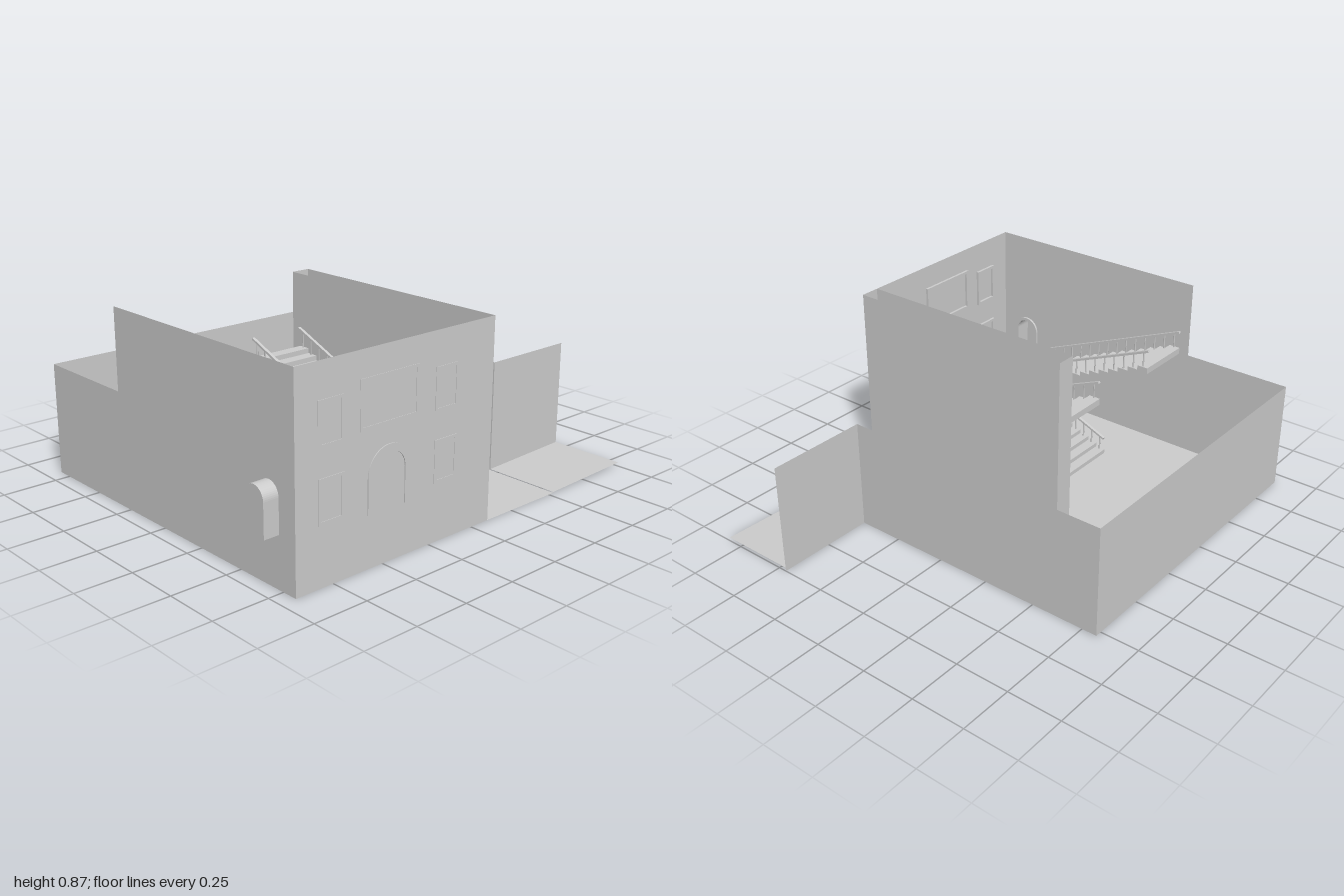
import * as THREE from 'three';

const mat = new THREE.MeshStandardMaterial({ color: 0xcccccc, side: THREE.DoubleSide });
const HALL = { x0: -0.93, x1: 0.01, z0: -0.3, z1: 0.82, h: 0.87 };
const LOW = 0.51, LANDING = 0.22, LANDING_Z = 0.51;

function add(parent, name, geo) {
  const m = new THREE.Mesh(geo, mat);
  m.name = name;
  parent.add(m);
  return m;
}
const box = (x0, x1, y0, y1, z0, z1) =>
  new THREE.BoxGeometry(x1 - x0, y1 - y0, z1 - z0)
    .translate((x0 + x1) / 2, (y0 + y1) / 2, (z0 + z1) / 2);
const poly = (pts) => new THREE.Shape(pts.map((p) => new THREE.Vector2(...p)));
const rect = (a0, a1, b0, b1) => poly([[a0, b0], [a1, b0], [a1, b1], [a0, b1]]);
const extrude = (shape, depth) =>
  new THREE.ExtrudeGeometry(shape, { depth, bevelEnabled: false, curveSegments: 12 });
// turn a (z, y) drawing so that it stands across x; depth runs towards -x
const acrossX = (geo, x) => geo.rotateY(-Math.PI / 2).translate(x, 0, 0);

// round-headed opening
function arch(c, w, y0, y1, Type = THREE.Shape) {
  const s = new Type(), r = w / 2, spring = y1 - r;
  s.moveTo(c - r, y0);
  s.lineTo(c - r, spring);
  s.absarc(c, spring, r, Math.PI, 0, true);
  s.lineTo(c + r, y0);
  s.closePath();
  return s;
}
// round-headed band of thickness t, open at the bottom
function archBand(c, w, y0, y1, t) {
  const s = new THREE.Shape(), r = w / 2, spring = y1 - r;
  s.moveTo(c - r, y0);
  s.lineTo(c - r, spring);
  s.absarc(c, spring, r, Math.PI, 0, true);
  s.lineTo(c + r, y0);
  s.lineTo(c + r - t, y0);
  s.lineTo(c + r - t, spring);
  s.absarc(c, spring, r - t, 0, Math.PI, false);
  s.lineTo(c - r + t, y0);
  s.closePath();
  return s;
}

// flight rising from (zA, yA) to (zB, yB), with two railings
function flight(name, x0, x1, zA, yA, zB, yB, steps) {
  const g = new THREE.Group();
  g.name = name;
  const dz = (zB - zA) / steps, dy = (yB - yA) / steps;
  const pts = [[zA, yA]];
  for (let i = 0; i < steps; i++) {
    pts.push([zA + i * dz, yA + (i + 1) * dy], [zA + (i + 1) * dz, yA + (i + 1) * dy]);
  }
  pts.push([zB, yB - 0.03], [zA + dz, yA]);
  add(g, 'steps', acrossX(extrude(poly(pts), x1 - x0), x1));

  const railH = 0.085;
  for (const x of [x0 + 0.008, x1 - 0.008]) {
    const len = Math.hypot(zB - zA, yB - yA);
    const rail = add(g, 'handrail', new THREE.BoxGeometry(0.014, 0.01, len));
    rail.position.set(x, (yA + yB) / 2 + railH, (zA + zB) / 2);
    rail.rotation.x = -Math.atan2(yB - yA, zB - zA);
    if (zB < zA) rail.rotation.x = Math.atan2(yB - yA, zA - zB);
    for (let i = 0; i < steps; i++) {
      const z = zA + (i + 0.5) * dz, y = yA + (i + 0.5) * dy;
      add(g, 'baluster', new THREE.CylinderGeometry(0.004, 0.004, railH, 6))
        .position.set(x, y + railH / 2, z);
    }
  }
  return g;
}

// shallow arched recess behind an opening, running from x to x + depth
function alcove(name, x, depth, z) {
  const g = new THREE.Group();
  g.name = name;
  const right = Math.max(x, x + depth);
  add(g, 'recess', acrossX(extrude(archBand(z, 0.11, 0.22, 0.42, 0.003), Math.abs(depth)), right));
  add(g, 'door', acrossX(new THREE.ShapeGeometry(arch(z, 0.11, 0.22, 0.42)), x + depth));
  const inner = x - Math.sign(depth) * 0.01;
  add(g, 'surround', acrossX(extrude(archBand(z, 0.134, 0.22, 0.432, 0.014), 0.01), Math.max(x, inner)));
  return g;
}

export function createModel() {
  const model = new THREE.Group();
  const { x0, x1, z0, z1, h } = HALL;
  const doorZ = 0.675;

  // floors
  add(model, 'floor', new THREE.PlaneGeometry(1.46, 1.64).rotateX(-Math.PI / 2).translate(-0.2, 0, 0));
  const porch = new THREE.PlaneGeometry(0.47, 0.36).rotateX(-Math.PI / 2).translate(0.765, 0, 0.64);
  const p = porch.attributes.position;
  for (let i = 0; i < p.count; i++) p.setY(i, p.getX(i) > 0.7 ? 0.018 : 0.004);
  porch.computeVertexNormals();
  add(model, 'porchFloor', porch);

  // outer walls
  const left = poly([[-0.82, 0], [z1, 0], [z1, h], [z0, h], [z0, LOW], [-0.82, LOW]]);
  left.holes.push(arch(doorZ, 0.11, 0.22, 0.42, THREE.Path));
  add(model, 'sideWall', acrossX(new THREE.ShapeGeometry(left), x0));
  add(model, 'frontWall', new THREE.ShapeGeometry(rect(x0, x1, 0, h)).translate(0, 0, z1));
  add(model, 'backWall', new THREE.ShapeGeometry(rect(x0, 0.53, 0, LOW)).translate(0, 0, -0.82));
  add(model, 'lowSideWall', acrossX(new THREE.ShapeGeometry(rect(-0.82, 0.46, 0, LOW)), 0.53));
  add(model, 'porchWall', new THREE.ShapeGeometry(rect(0.53, 1, 0, LOW)).translate(0, 0, 0.46));

  // hollow partition between hall and low room
  const partition = rect(z0, z1, 0, h);
  partition.holes.push(arch(doorZ, 0.11, 0.22, 0.42, THREE.Path));
  add(model, 'partitionInner', acrossX(new THREE.ShapeGeometry(partition), x1));
  add(model, 'partitionOuter', acrossX(new THREE.ShapeGeometry(rect(z0, z1, 0, h)), 0.1));
  for (const z of [z0, z1]) {
    add(model, 'partitionEnd', new THREE.ShapeGeometry(rect(x1, 0.1, 0, h)).translate(0, 0, z));
  }

  // side doors
  model.add(alcove('leftAlcove', x0, -0.07, doorZ), alcove('rightAlcove', x1, 0.07, doorZ));

  // raised landing
  add(model, 'landing', new THREE.PlaneGeometry(x1 - x0, z1 - LANDING_Z).rotateX(-Math.PI / 2)
    .translate((x0 + x1) / 2, LANDING, (z1 + LANDING_Z) / 2));
  add(model, 'landingFace', new THREE.ShapeGeometry(rect(x0, x1, 0, LANDING)).translate(0, 0, LANDING_Z));

  // stairs: one central flight up to the landing, two side flights onwards
  model.add(
    flight('centreStair', -0.65, -0.27, -0.03, 0, LANDING_Z, LANDING, 11),
    flight('leftStair', x0, -0.65, LANDING_Z, LANDING, -0.25, 0.535, 14),
    flight('rightStair', -0.27, x1, LANDING_Z, LANDING, -0.25, 0.535, 14),
  );

  // front door with steps
  add(model, 'frontDoorFrame', extrude(archBand(-0.47, 0.22, 0.22, 0.48, 0.028), 0.022).translate(0, 0, 0.802));
  add(model, 'doorStep', box(-0.58, -0.36, LANDING, 0.235, 0.79, z1));
  add(model, 'doorStep', box(-0.53, -0.41, LANDING, 0.25, 0.77, 0.79));

  // window and picture frames: x centre, y centre, width, height
  const frames = [
    [-0.76, 0.34, 0.125, 0.18], [-0.165, 0.34, 0.125, 0.18],
    [-0.76, 0.635, 0.125, 0.18], [-0.165, 0.635, 0.125, 0.18],
    [-0.47, 0.66, 0.3, 0.2],
  ];
  for (const [x, y, w, fh] of frames) {
    const s = rect(x - w / 2, x + w / 2, y - fh / 2, y + fh / 2);
    const t = 0.013;
    s.holes.push(rect(x - w / 2 + t, x + w / 2 - t, y - fh / 2 + t, y + fh / 2 - t));
    add(model, 'windowFrame', extrude(s, 0.014).translate(0, 0, 0.808));
  }
  return model;
}
